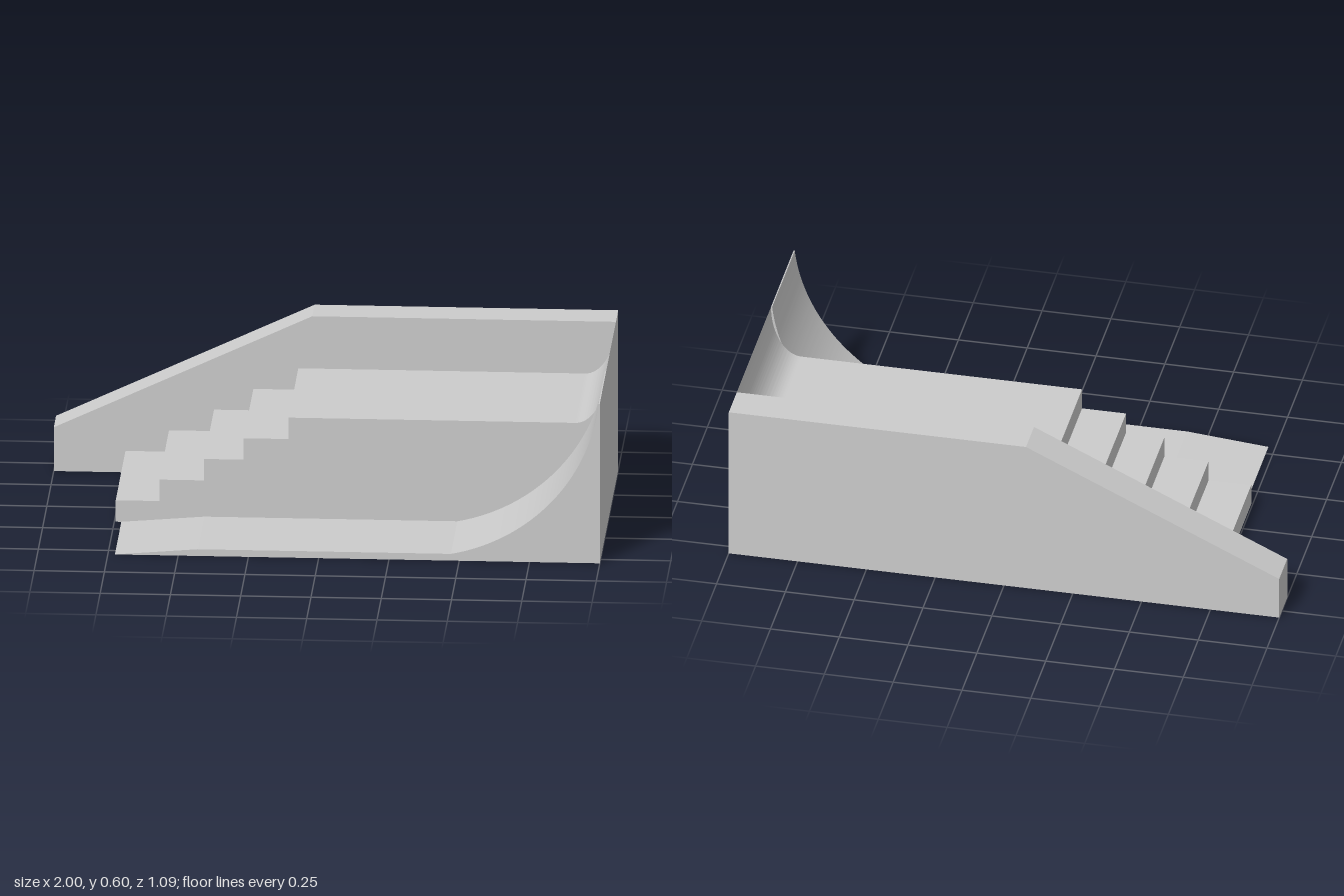
import * as THREE from 'three';
import { toCreasedNormals } from 'three/addons/utils/BufferGeometryUtils.js';

const TOP = 0.595;
const END = 1;

// Extrude a side profile between two depths
function slab(name, shape, z0, z1, material) {
  const geometry = new THREE.ExtrudeGeometry(shape, {
    depth: z1 - z0, bevelEnabled: false, curveSegments: 48,
  });
  geometry.translate(0, 0, z0);
  const mesh = new THREE.Mesh(toCreasedNormals(geometry, 0.07), material);
  mesh.name = name;
  return mesh;
}

export function createModel() {
  const group = new THREE.Group();
  group.name = 'skateRamp';
  const material = new THREE.MeshStandardMaterial({ color: 0xcccccc });

  // Back wall with a sloping hubba ledge
  const ledge = new THREE.Shape();
  ledge.moveTo(-1, 0);
  ledge.lineTo(END, 0);
  ledge.lineTo(END, TOP);
  ledge.lineTo(-0.08, TOP);
  ledge.lineTo(-1, 0.163);
  ledge.closePath();
  group.add(slab('sideLedge', ledge, -0.545, -0.41, material));

  // Five steps up to a deck that curls up at its end
  const stairs = new THREE.Shape();
  stairs.moveTo(END, TOP);
  stairs.lineTo(END, 0);
  stairs.lineTo(-0.745, 0);
  const risers = [-0.745, -0.59, -0.43, -0.29, -0.13];
  risers.forEach((x, i) => {
    if (i > 0) stairs.lineTo(x, i * 0.08);
    stairs.lineTo(x, (i + 1) * 0.08);
  });
  stairs.lineTo(0.89, 0.4);
  stairs.absellipse(0.89, TOP, 0.11, TOP - 0.4, -Math.PI / 2, 0, false, 0);
  group.add(slab('stairsAndDeck', stairs, -0.41, 0.165, material));

  // Low run-up leading into a quarter pipe
  const pipe = new THREE.Shape();
  const r = 0.655, cx = END - r, cy = 0.668;
  const start = Math.atan2(0.025 - cy, 0.47 - cx);
  const finish = Math.asin((TOP - cy) / r);
  pipe.moveTo(END, TOP);
  pipe.lineTo(END, 0);
  pipe.lineTo(-0.725, 0);
  pipe.lineTo(-0.43, 0.025);
  pipe.lineTo(0.47, 0.025);
  pipe.absarc(cx, cy, r, start, finish, false);
  group.add(slab('quarterPipe', pipe, 0.165, 0.545, material));

  return group;
}
